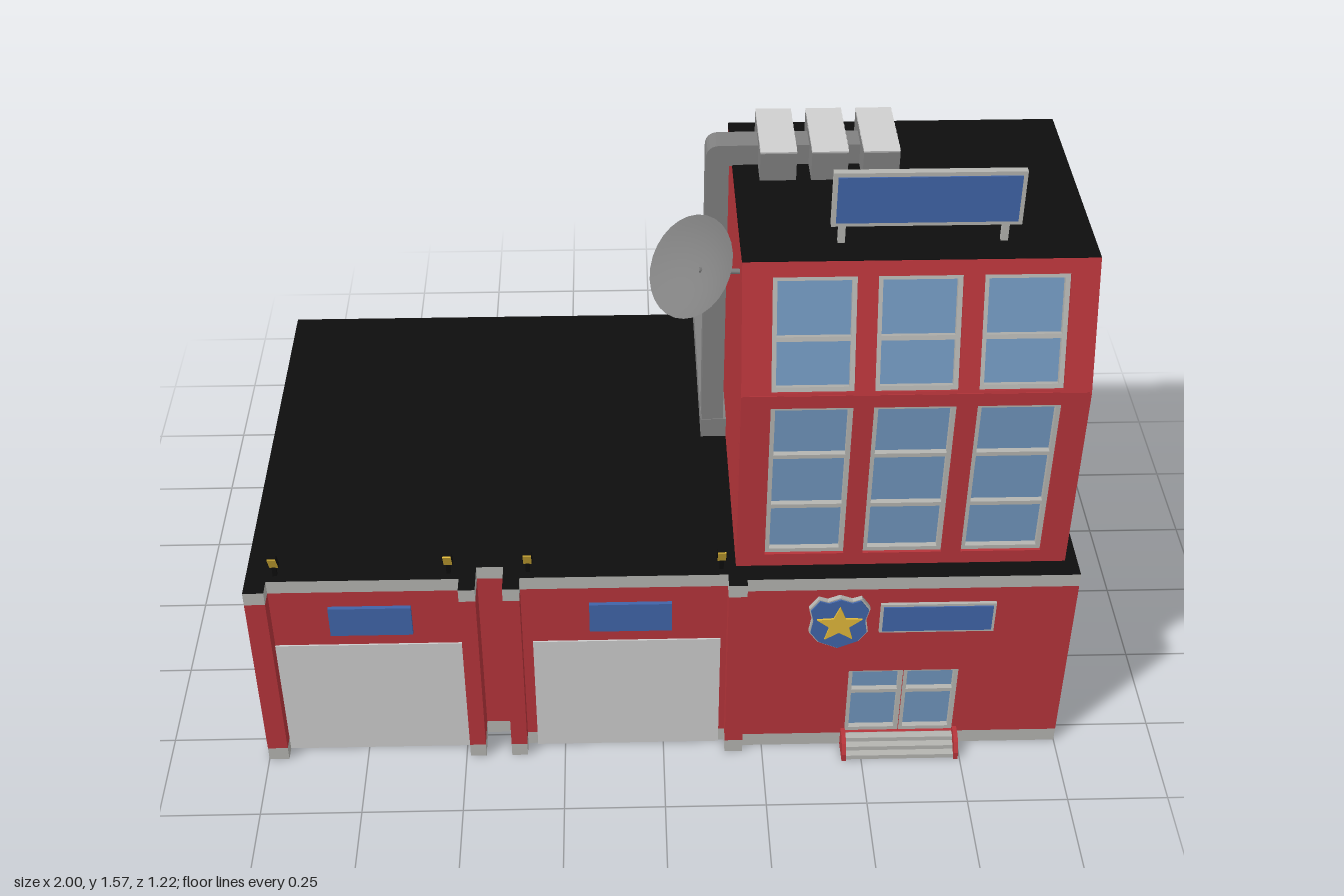
import * as THREE from 'three';

const mat = (color) => new THREE.MeshStandardMaterial({ color });
const RED = mat(0xb5343a), GREY = mat(0xb4b4b0), DOOR = mat(0xcccccc), DUCT = mat(0x808080);
const BLACK = mat(0x0d0d0d), GLASS = mat(0x6f94bb), BLUE = mat(0x4064a8), GOLD = mat(0xe0b83a);
const DISH = new THREE.MeshStandardMaterial({ color: 0x808080, side: THREE.DoubleSide });

const V = (pts) => pts.map(([x, y]) => new THREE.Vector2(x, y));

function add(parent, name, geo, material, x = 0, y = 0, z = 0) {
  const m = new THREE.Mesh(geo, material);
  m.name = name;
  m.position.set(x, y, z);
  parent.add(m);
  return m;
}

// Box given by its limits on each axis
function box(parent, name, material, x0, x1, y0, y1, z0, z1) {
  return add(parent, name, new THREE.BoxGeometry(x1 - x0, y1 - y0, z1 - z0), material,
    (x0 + x1) / 2, (y0 + y1) / 2, (z0 + z1) / 2);
}

function slab(pts, depth, holes = []) {
  const s = new THREE.Shape(V(pts));
  holes.forEach((h) => s.holes.push(new THREE.Path(V(h))));
  return new THREE.ExtrudeGeometry(s, { depth, bevelEnabled: false, curveSegments: 8 });
}

// Footprint [x, z] raised from y0 to y1; caps and sides may differ in colour
function storey(parent, name, plan, y0, y1, caps, sides) {
  const geo = slab(plan.map(([x, z]) => [x, -z]), y1 - y0).rotateX(-Math.PI / 2);
  return add(parent, name, geo, [caps, sides], 0, y0, 0);
}

const rect = (x0, x1, y0, y1) => [[x0, y0], [x1, y0], [x1, y1], [x0, y1]];

// Wall 0.03 thick with recessed windows; window = {x0, x1, ys, slant}, ys = sill, bars, head
function windowWall(parent, name, outline, windows) {
  const g = new THREE.Group();
  g.name = name;
  parent.add(g);
  const holes = [];
  for (const { x0, x1, ys, slant = 0 } of windows) {
    const lo = ys[0], hi = ys[ys.length - 1], f = 0.011;
    const quad = (a, b, i) => {
      const left = (y) => x0 + slant * (y - lo) / (hi - lo) + i;
      return [[left(a), a], [x1 - i, a], [x1 - i, b], [left(b), b]];
    };
    holes.push(quad(lo, hi, 0));
    const panes = ys.slice(1).map((y, i) =>
      quad(ys[i] + (i ? f / 2 : f), y - (i === ys.length - 2 ? f : f / 2), f));
    add(g, 'windowFrame', slab(quad(lo, hi, 0), 0.022, panes), GREY);
    add(g, 'windowGlass', slab(quad(lo, hi, 0.004), 0.008), GLASS);
  }
  add(g, 'wall', slab(outline, 0.03, holes), RED);
  return g;
}

// Bent duct: two straight legs with a rounded outer corner, in its local plane
function elbow(w, h, t) {
  const r = 0.035;
  const s = new THREE.Shape();
  s.moveTo(0, 0);
  s.lineTo(t, 0);
  s.lineTo(t, h - t);
  s.lineTo(w, h - t);
  s.lineTo(w, h);
  s.lineTo(r, h);
  s.quadraticCurveTo(0, h, 0, h - r);
  s.closePath();
  return new THREE.ExtrudeGeometry(s, { depth: 0.065, bevelEnabled: false, curveSegments: 6 });
}

function buildBase(g) {
  // Garage with two bays between pilasters, and the station block
  const plan = (sx, sz) => [[-1, -0.55], [0.2, -0.55], [0.2, -0.25], [sx, -0.25], [sx, sz], [0.2, sz],
    [0.2, 0.57], [0.155, 0.57], [0.155, 0.53], [-0.345, 0.53], [-0.345, 0.57], [-0.385, 0.57],
    [-0.385, 0.49], [-0.45, 0.49], [-0.45, 0.57], [-0.49, 0.57], [-0.49, 0.53],
    [-0.95, 0.53], [-0.95, 0.57], [-1, 0.57]].reverse();
  storey(g, 'plinth', plan(1, 0.55), 0, 0.04, RED, GREY);
  storey(g, 'lowerWalls', plan(0.97, 0.52), 0.04, 0.535, RED, RED);
  storey(g, 'roofTrim', plan(1, 0.55), 0.535, 0.572, BLACK, GREY);

  const front = windowWall(g, 'stationFrontWall', rect(0.2, 1, 0.04, 0.535), [
    { x0: 0.46, x1: 0.597, ys: [0.04, 0.18, 0.26] }, { x0: 0.597, x1: 0.735, ys: [0.04, 0.18, 0.26] }]);
  front.position.z = 0.52;
  const side = windowWall(g, 'stationSideWall', rect(-0.52, 0.25, 0.04, 0.535), [
    { x0: -0.435, x1: -0.185, ys: [0.165, 0.3, 0.44] }, { x0: -0.13, x1: 0.135, ys: [0.165, 0.3, 0.44] }]);
  side.rotation.y = Math.PI / 2;
  side.position.x = 0.97;

  // Garage doors and number plates
  for (const x of [-0.95, -0.32]) {
    box(g, 'garageDoor', DOOR, x, x + 0.46, 0, 0.362, 0.5, 0.534);
    box(g, 'bayPlate', BLUE, x + 0.14, x + 0.34, 0.4, 0.488, 0.52, 0.54);
  }

  // Floodlights along the roof edge
  for (const x of [-0.93, -0.515, -0.325, 0.14]) {
    const lamp = new THREE.Group();
    lamp.name = 'floodlight';
    lamp.position.set(x, 0.57, 0.505);
    g.add(lamp);
    box(lamp, 'lampStem', BLACK, -0.005, 0.005, 0, 0.045, -0.005, 0.005);
    const head = new THREE.Group();
    head.position.y = 0.052;
    head.position.z = 0.008;
    head.rotation.x = 0.45;
    lamp.add(head);
    box(head, 'lampHousing', BLACK, -0.012, 0.012, -0.025, 0.025, -0.006, 0.004);
    box(head, 'lampFace', GOLD, -0.01, 0.01, -0.023, 0.023, 0.004, 0.007);
  }

  // Entrance steps with curved cheeks
  for (let i = 0; i < 3; i++)
    box(g, 'step', GREY, 0.46, 0.735, 0, 0.013 * (i + 1), 0.545, 0.605 - i * 0.018);
  const cheek = [[-0.55, 0], [-0.61, 0], [-0.61, 0.022], [-0.595, 0.045], [-0.575, 0.056], [-0.55, 0.056]].reverse();
  for (const x of [0.45, 0.734])
    add(g, 'stepCheek', slab(cheek, 0.011).rotateY(Math.PI / 2), RED, x);

  // Shield with star, and the name plate
  const half = [[0, 0.082], [0.03, 0.07], [0.052, 0.078], [0.074, 0.045], [0.066, 0.01], [0.072, -0.03], [0.05, -0.062], [0, -0.085]];
  const shield = [...half, ...half.slice(1, -1).reverse().map(([x, y]) => [-x, y])].reverse();
  add(g, 'shieldRim', slab(shield, 0.012), GREY, 0.425, 0.437, 0.55);
  add(g, 'shield', slab(shield.map(([x, y]) => [x * 0.95, y * 0.95]), 0.016), BLUE, 0.425, 0.437, 0.55);
  const star = Array.from({ length: 10 }, (_, i) => {
    const a = Math.PI / 2 + i * Math.PI / 5, r = i % 2 ? 0.025 : 0.058;
    return [r * Math.cos(a), r * Math.sin(a)];
  });
  add(g, 'star', slab(star, 0.021), GOLD, 0.425, 0.437, 0.55);
  box(g, 'plateFrame', GREY, 0.525, 0.805, 0.398, 0.49, 0.55, 0.558);
  box(g, 'plate', BLUE, 0.532, 0.798, 0.405, 0.483, 0.55, 0.561);
}

function buildTower(g) {
  const L = 0.175, R = 0.97, tilt = Math.atan2(0.09, 0.31), len = Math.hypot(0.09, 0.31);
  // Core behind the window walls, drawn in profile
  const core = [[-0.469, 0.57], [0.2, 0.57], [0.2, 1.388], [-0.379, 1.388], [-0.469, 1.08]];
  add(g, 'towerCore', slab(core, R - 0.03 - L).rotateY(Math.PI / 2), RED, L);
  box(g, 'towerRoof', BLACK, L, R, 1.38, 1.391, -0.2, 0.409);

  const cols = [[0.243, 0.432], [0.478, 0.667], [0.714, 0.906]];
  const row = (ys) => cols.map(([x0, x1]) => ({ x0, x1, ys }));
  const lower = windowWall(g, 'towerFrontWall', rect(L, R - 0.005, 0.57, 1.085), row([0.608, 0.752, 0.902, 1.05]));
  lower.position.z = 0.47;
  const upper = windowWall(g, 'towerSlopedWall', rect(L, R - 0.005, 0, len), row([0.012, 0.138, 0.287]));
  upper.rotation.x = -tilt;
  upper.position.set(0, 1.08 - 0.03 * Math.sin(tilt), 0.5 - 0.03 * Math.cos(tilt));

  const outline = [[-0.5, 0.57], [0.2, 0.57], [0.2, 1.39], [-0.41, 1.39], [-0.5, 1.08]];
  const side = windowWall(g, 'towerSideWall', outline, [
    { x0: -0.433, x1: -0.183, ys: [0.608, 0.747, 0.9, 1.05] },
    { x0: -0.115, x1: 0.137, ys: [0.608, 0.747, 0.9, 1.05] },
    { x0: -0.433, x1: -0.183, ys: [1.085, 1.215, 1.358], slant: 0.078 },
    { x0: -0.115, x1: 0.137, ys: [1.085, 1.215, 1.358] }]);
  side.rotation.y = Math.PI / 2;
  side.position.x = R - 0.03;
}

function buildRoofGear(g) {
  // Duct from the back wall over the garage roof and up the tower
  const back = add(g, 'backDuct', elbow(0.61, 0.628, 0.06), DUCT, 0.175, 0, -0.61);
  back.rotation.y = -Math.PI / 2;
  add(g, 'towerDuct', elbow(0.44, 0.875, 0.055), DUCT, 0.112, 0.568, -0.067);

  // Air conditioning units with slatted tops
  for (const x of [0.235, 0.355, 0.475]) {
    box(g, 'airUnit', DUCT, x, x + 0.085, 1.39, 1.462, -0.13, 0.07);
    for (let i = 0; i < 8; i++) {
      const z = -0.118 + i * 0.025;
      box(g, 'airSlat', DOOR, x, x + 0.085, 1.46, 1.468, z - 0.011, z + 0.011).rotation.x = 0.2;
    }
  }

  // Roof sign on two posts
  for (const x of [0.4, 0.765])
    box(g, 'signPost', GREY, x - 0.008, x + 0.008, 1.385, 1.45, 0.325, 0.338);
  box(g, 'signBoard', GREY, 0.375, 0.8, 1.435, 1.572, 0.323, 0.34);
  box(g, 'signFace', BLUE, 0.385, 0.79, 1.445, 1.562, 0.33, 0.343);

  // Satellite dish on a bent arm
  const normal = new THREE.Vector3(-0.65, 0.6, 0.46).normalize();
  const profile = Array.from({ length: 9 }, (_, i) => [0.119 * i / 8, 0.032 * (i / 8) ** 2 - 0.016]);
  const dish = add(g, 'dish', new THREE.LatheGeometry(V(profile), 28), DISH, 0.073, 1.353, 0.375);
  dish.quaternion.setFromUnitVectors(new THREE.Vector3(0, 1, 0), normal);
  const arm = new THREE.CatmullRomCurve3([new THREE.Vector3(0.08, 1.345, 0.37),
    new THREE.Vector3(0.12, 1.332, 0.355), new THREE.Vector3(0.185, 1.325, 0.35)]);
  add(g, 'dishArm', new THREE.TubeGeometry(arm, 8, 0.007, 6), DUCT);
}

export function createModel() {
  const model = new THREE.Group();
  model.name = 'station';
  for (const [name, build] of [['base', buildBase], ['tower', buildTower], ['roofGear', buildRoofGear]]) {
    const g = new THREE.Group();
    g.name = name;
    model.add(g);
    build(g);
  }
  return model;
}
